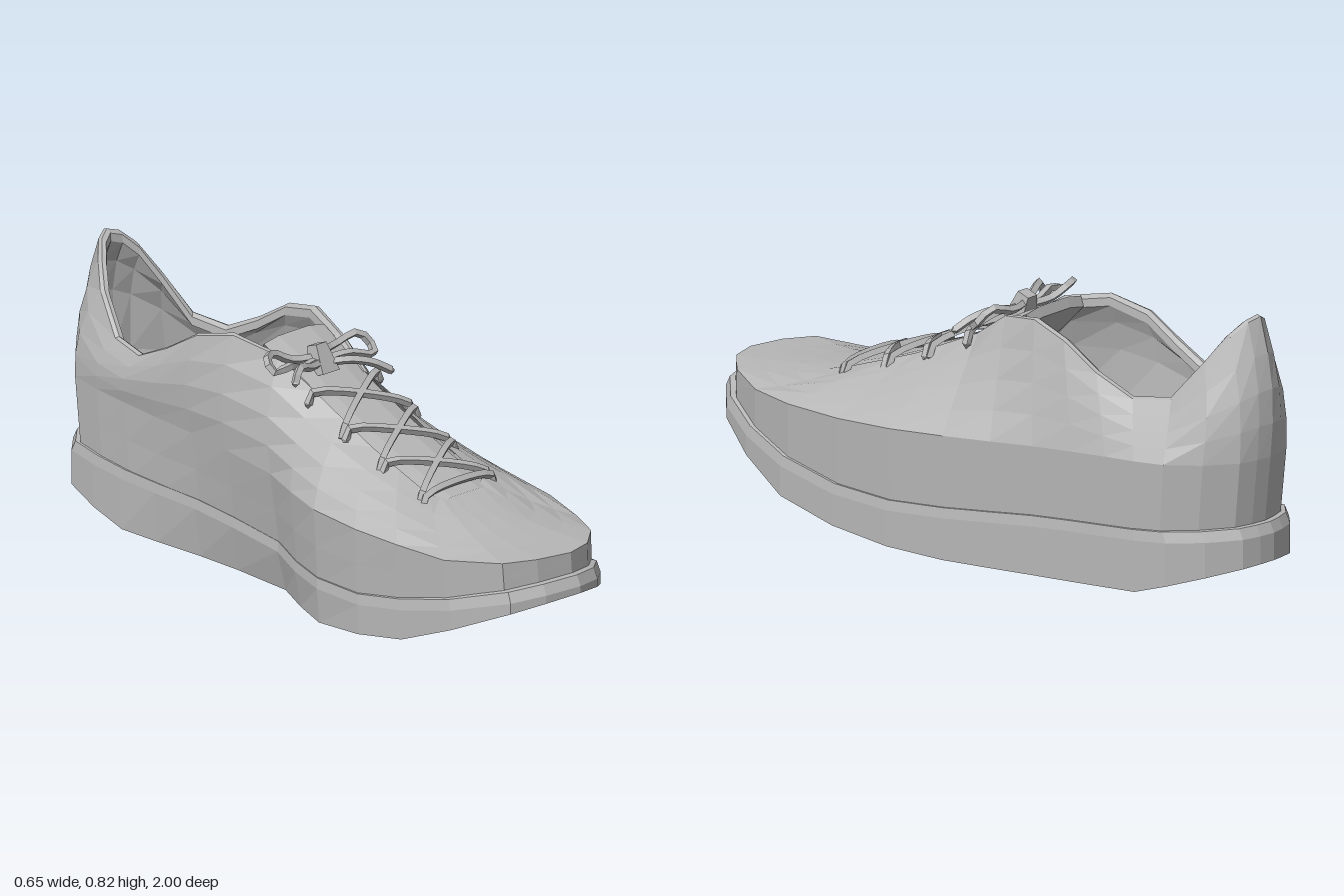
import * as THREE from 'three';

const grey = new THREE.MeshStandardMaterial({ color: 0xb6b6b6, flatShading: true, side: THREE.DoubleSide });
grey.name = 'grey';

// Outline stations from the toe, round the left side, heel and right side:
// [base x, base z, top edge x, top edge z]
const stations = [
  [-0.04, 1, -0.03, 0.5], [0.05, 0.975, 0.01, 0.5], [0.14, 0.895, 0.05, 0.5], [0.22, 0.755, 0.08, 0.48],
  [0.278, 0.58, 0.085, 0.36], [0.312, 0.36, 0.085, 0.25], [0.325, 0.15, 0.085, 0.13], [0.31, -0.04, 0.085, 0.02],
  [0.29, -0.2, 0.105, -0.1], [0.27, -0.34, 0.155, -0.25], [0.26, -0.48, 0.18, -0.38], [0.255, -0.6, 0.18, -0.5],
  [0.25, -0.7, 0.165, -0.62], [0.235, -0.8, 0.14, -0.74], [0.18, -0.9, 0.1, -0.83], [0.105, -0.975, 0.055, -0.885],
  [0.05, -0.993, 0.012, -0.915], [0, -1, -0.03, -0.925], [-0.05, -0.99, -0.065, -0.91], [-0.105, -0.97, -0.1, -0.875],
  [-0.17, -0.91, -0.135, -0.83], [-0.19, -0.8, -0.165, -0.74], [-0.2, -0.68, -0.19, -0.62],
  [-0.205, -0.55, -0.2, -0.5], [-0.205, -0.4, -0.2, -0.38], [-0.215, -0.25, -0.18, -0.25],
  [-0.235, -0.05, -0.15, -0.1], [-0.28, 0.08, -0.125, 0.02], [-0.32, 0.22, -0.125, 0.13], [-0.327, 0.4, -0.125, 0.25],
  [-0.322, 0.57, -0.125, 0.36], [-0.305, 0.75, -0.125, 0.48], [-0.24, 0.925, -0.1, 0.5], [-0.15, 0.975, -0.07, 0.5],
];
const N = stations.length;

// Piecewise height curves along z
const curve = (...knots) => z => {
  if (z <= knots[0][0]) return knots[0][1];
  for (let i = 1; i < knots.length; i++) {
    const [z0, y0] = knots[i - 1], [z1, y1] = knots[i];
    if (z <= z1) return y0 + (y1 - y0) * (z - z0) / (z1 - z0);
  }
  return knots[knots.length - 1][1];
};
const soleBottom = curve([-1, 0.12], [-0.7, 0.025], [-0.4, 0.008], [0, 0], [0.3, 0.012], [0.6, 0.06], [1, 0.235]);
const soleTop = curve([-1, 0.23], [-0.7, 0.205], [-0.35, 0.18], [0.1, 0.14], [0.4, 0.145], [0.65, 0.185], [1, 0.285]);
const bumper = curve([-1, 0.42], [-0.6, 0.4], [0, 0.36], [0.4, 0.335], [0.75, 0.325], [0.95, 0.345]);
const topLine = curve([-0.925, 0.812], [-0.91, 0.795], [-0.88, 0.755], [-0.83, 0.68], [-0.74, 0.57], [-0.62, 0.555],
  [-0.5, 0.61], [-0.38, 0.68], [-0.25, 0.71], [-0.1, 0.68], [0.02, 0.6], [0.25, 0.495], [0.5, 0.405]);

// Inner side of the sole draws in under the arch
const archDepth = curve([-0.7, 0], [-0.35, 0.05], [-0.05, 0.065], [0.2, 0.02], [0.35, 0]);
const arch = (x, z, amount) => (x < 0 ? x + archDepth(z) * amount : x);

const V = (x, y, z) => new THREE.Vector3(x, y, z);

function mesh(name, geometry) {
  const m = new THREE.Mesh(geometry, grey);
  m.name = name;
  return m;
}

// Joins rows of points into a surface
function loft(name, rows, closed = false) {
  const pos = [];
  for (let r = 0; r + 1 < rows.length; r++) {
    const a = rows[r], b = rows[r + 1], n = a.length;
    for (let i = 0; i < (closed ? n : n - 1); i++) {
      const j = (i + 1) % n;
      for (const p of [a[i], a[j], b[j], a[i], b[j], b[i]]) pos.push(p.x, p.y, p.z);
    }
  }
  const g = new THREE.BufferGeometry();
  g.setAttribute('position', new THREE.Float32BufferAttribute(pos, 3));
  g.computeVertexNormals();
  return mesh(name, g);
}

// Spans a ring by pairing its left and right stations
function floor(name, ring, down) {
  const rows = [];
  for (let i = 0; i <= N / 2; i++) {
    const l = ring[i], r = ring[(N - i) % N];
    rows.push(down ? [r, l] : [l, r]);
  }
  return loft(name, rows.reverse());
}

// One column of the upper, from the sole to the top edge
function column([bx, bz, tx, tz]) {
  const toe = THREE.MathUtils.smoothstep(bz, 0.55, 0.85);
  const foot = V(arch(bx, bz, 0.5) * 0.965, soleTop(bz) - 0.02, bz * 0.965);
  const low = V(bx * 0.985, bumper(bz), bz * (bz > 0 ? 0.96 : 0.987));
  const top = V(tx, topLine(tz), tz);
  const out = V(bx, 0, bz * 0.35).normalize();
  const bulge = bx > 0.2 ? 0.004 : 0.025;
  const points = [foot, foot.clone().lerp(low, 0.5), low];
  for (let k = 1; k < 4; k++) {
    const s = Math.sin(Math.PI * k / 4);
    const p = low.clone().lerp(top, k / 4).addScaledVector(out, bulge * s * (1 - toe));
    p.y -= 0.015 * s * toe;
    points.push(p);
  }
  points.push(top);
  return points;
}

// Four-sided cord along a path, closed at both ends
function cord(name, points, radius = 0.0125) {
  const path = new THREE.CatmullRomCurve3(points.map(p => V(...p)), false, 'centripetal');
  const g = new THREE.TubeGeometry(path, points.length * 2, radius, 4);
  const group = new THREE.Group();
  group.name = name;
  group.add(mesh('cord', g));
  for (const p of [points[0], points[points.length - 1]]) {
    const cap = mesh('cordEnd', new THREE.OctahedronGeometry(radius));
    cap.position.set(...p);
    group.add(cap);
  }
  return group;
}

export function createModel() {
  const shoe = new THREE.Group();
  shoe.name = 'shoe';

  // Sole with a bevelled rim
  const ring = (height, s, inset) => stations.map(([x, z]) => V(arch(x, z, inset) * s, height(z), z * s));
  const bottom = ring(soleBottom, 1, 1);
  shoe.add(loft('soleWall', [bottom, ring(z => soleTop(z) - 0.03, 1, 0.5), ring(soleTop, 0.985, 0.5),
    ring(soleTop, 0.95, 0.5)], true));
  shoe.add(floor('soleBottom', bottom, true));

  // Upper
  const columns = stations.map(column);
  const rows = columns[0].map((_, k) => columns.map(c => c[k]));
  shoe.add(loft('upper', rows, true));

  // Rounded collar and lining, from one side of the throat round the heel to the other
  const inward = (p, d, dy) => {
    const n = V(-p.x - 0.02, 0, (-0.45 - p.z) * 0.45);
    return p.clone().addScaledVector(n.normalize(), d).add(V(0, dy, 0));
  };
  const collar = columns.slice(7, 28);
  const at = (k, d, dy) => collar.map(c => inward(c[k], d, dy));
  shoe.add(loft('collar', [at(6, 0, 0), at(6, 0.012, 0.004), at(6, 0.026, -0.006), at(6, 0.028, -0.03)]));
  shoe.add(loft('lining', [at(6, 0.028, -0.03), at(5, 0.026, 0), at(4, 0.024, 0), at(2, 0.022, 0), at(0, 0.015, 0.03)]));
  shoe.add(floor('insole', ring(z => soleTop(z) + 0.01, 0.93, 0.5), false));

  // Arched tongue, flaring at its upper end
  const tongueRows = [0.52, 0.36, 0.2, 0.05, -0.06, -0.17].map(z => {
    const w = z < -0.1 ? 0.118 : 0.108;
    const y = z < -0.1 ? 0.695 : topLine(z) - 0.012;
    return [-1, -0.5, 0.5, 1].map(u => V(-0.022 + u * w, y + 0.014 * (1 - u * u), z));
  });
  shoe.add(loft('tongue', tongueRows));
  const lip = tongueRows[5];
  shoe.add(loft('tongueLip', [lip, lip.map(p => V(p.x, p.y - 0.03, p.z - 0.01)),
    lip.map(p => V(p.x, p.y - 0.12, p.z + 0.08))]));

  // Laces: a straight bar, then crossed pairs
  const laces = new THREE.Group();
  laces.name = 'laces';
  shoe.add(laces);
  const eyelets = [0.49, 0.33, 0.18, 0.03];
  const lift = z => topLine(z) + 0.012;
  const lace = (xa, za, xb, zb) => {
    const mid = (za + zb) / 2, side = Math.sign(xb - xa);
    laces.add(cord('lace', [
      [xa - side * 0.01, lift(za) - 0.035, za], [xa, lift(za) - 0.006, za],
      [(xa + xb) / 2, lift(mid) + 0.012, mid],
      [xb, lift(zb) - 0.006, zb], [xb + side * 0.01, lift(zb) - 0.035, zb]]));
  };
  lace(-0.15, eyelets[0], 0.11, eyelets[0]);
  for (let i = 0; i < 3; i++) {
    lace(-0.15, eyelets[i] - 0.015, 0.11, eyelets[i + 1]);
    lace(0.11, eyelets[i] - 0.015, -0.15, eyelets[i + 1]);
  }

  // Bow: knot, two loops and two loose ends
  const knot = mesh('knot', new THREE.CylinderGeometry(0.028, 0.046, 0.085, 4).rotateY(Math.PI / 4));
  knot.position.set(-0.045, 0.662, -0.04);
  knot.rotation.x = -0.35;
  laces.add(knot);
  laces.add(cord('rightLoop', [[-0.05, 0.665, -0.05], [-0.13, 0.672, -0.07], [-0.19, 0.702, -0.085],
    [-0.232, 0.695, -0.06], [-0.228, 0.668, -0.03], [-0.19, 0.68, -0.02], [-0.12, 0.66, -0.03], [-0.05, 0.66, -0.04]]));
  laces.add(cord('leftLoop', [[-0.04, 0.675, -0.05], [0.04, 0.675, -0.07], [0.12, 0.693, -0.06],
    [0.15, 0.66, -0.04], [0.135, 0.638, -0.01], [0.05, 0.66, -0.02], [-0.04, 0.66, -0.03]]));
  laces.add(cord('rightEnd', [[-0.05, 0.655, -0.03], [-0.12, 0.665, 0], [-0.19, 0.685, 0.025], [-0.215, 0.65, 0.035]]));
  laces.add(cord('leftEnd', [[-0.04, 0.65, -0.03], [0.02, 0.655, 0.01], [0.08, 0.64, 0.04], [0.13, 0.61, 0.065]]));

  return shoe;
}
